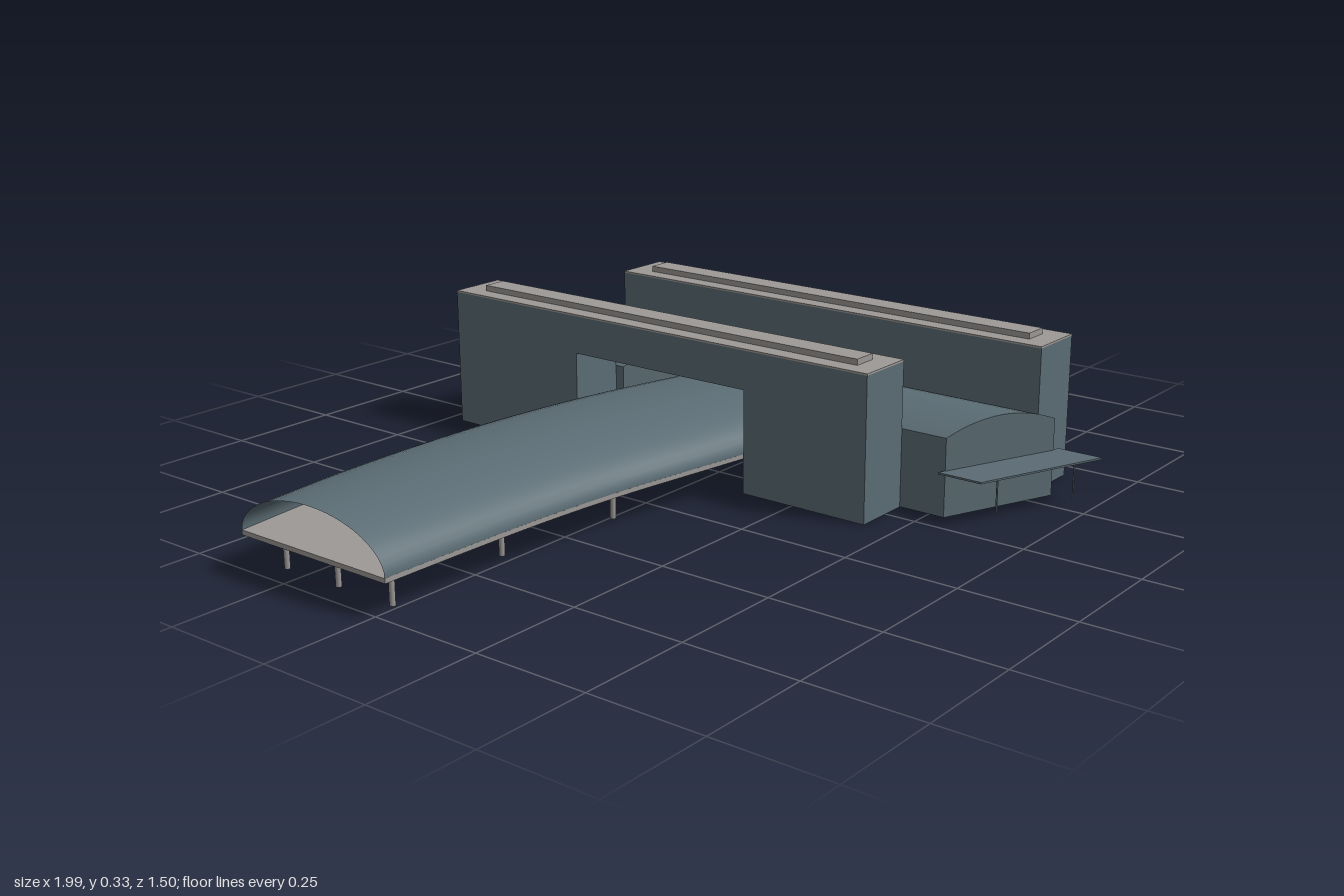
import * as THREE from 'three';
import { ParametricGeometry } from 'three/addons/geometries/ParametricGeometry.js';

const slate = new THREE.MeshStandardMaterial({ color: 0x5b6c74, side: THREE.DoubleSide });
slate.name = 'slate cladding';
const grey = new THREE.MeshStandardMaterial({ color: 0x9c9997 });
grey.name = 'grey concrete';

const V2 = (x, y) => new THREE.Vector2(x, y);

function add(parent, name, geometry, material, x = 0, y = 0, z = 0) {
  const mesh = new THREE.Mesh(geometry, material);
  mesh.name = name;
  mesh.position.set(x, y, z);
  parent.add(mesh);
  return mesh;
}

// Flat-faced shell from a counter-clockwise outline; place(p, k) sets a corner
// at end k (0 or 1). Edges lying on the ground are left open.
function shell(outline, place) {
  const pos = [];
  const put = (p, k) => pos.push(...place(p, k));
  outline.forEach((p, i) => {
    const q = outline[(i + 1) % outline.length];
    if (p.y === 0 && q.y === 0) return;
    put(p, 0); put(q, 0); put(q, 1);
    put(p, 0); put(q, 1); put(p, 1);
  });
  for (const [a, b, c] of THREE.ShapeUtils.triangulateShape(outline, [])) {
    put(outline[a], 1); put(outline[b], 1); put(outline[c], 1);
    put(outline[c], 0); put(outline[b], 0); put(outline[a], 0);
  }
  const g = new THREE.BufferGeometry();
  g.setAttribute('position', new THREE.Float32BufferAttribute(pos, 3));
  g.computeVertexNormals();
  return g;
}

// Long slab building bridging the platform hall
function slabBuilding(name, x0, x1, z0, z1, open0, open1) {
  const g = new THREE.Group();
  g.name = name;
  const top = 0.313, lintel = 0.228;
  const outline = [V2(z0, 0), V2(open0, 0), V2(open0, lintel), V2(open1, lintel),
    V2(open1, 0), V2(z1, 0), V2(z1, top), V2(z0, top)];
  add(g, 'walls', shell(outline, (p, k) => [k ? x0 : x1, p.y, p.x]), slate);
  const x = (x0 + x1) / 2, z = (z0 + z1) / 2, length = z1 - z0;
  add(g, 'flatRoof', new THREE.BoxGeometry(x1 - x0, 0.004, length), grey, x, top + 0.002, z);
  add(g, 'roofRidge', new THREE.BoxGeometry(0.056, 0.014, length - 0.106), grey, x, 0.323, z + 0.003);
  return g;
}

// Entrance hall with a shallow arched roof and skewed ends
function entranceHall(name, back, front) {
  const xl = 0.055, xr = 0.31, outline = [V2(xl, 0), V2(xr, 0)];
  for (let i = 0; i <= 14; i++) {
    const u = 1 - (2 * i) / 14;
    outline.push(V2((xl + xr) / 2 + (u * (xr - xl)) / 2, 0.17 + 0.029 * (1 - u * u)));
  }
  const geo = shell(outline, (p, k) => {
    const [a, b] = k ? front : back;
    return [p.x, p.y, THREE.MathUtils.lerp(a, b, (p.x - xl) / (xr - xl))];
  });
  const g = new THREE.Group();
  g.name = name;
  add(g, 'archedHall', geo, slate);
  return g;
}

// Edges of the curved platform hall, as x, z
const curve = (pts) => new THREE.CatmullRomCurve3(pts.map(([x, z]) => new THREE.Vector3(x, 0, z)));
const backEdge = curve([[-1, -0.362], [-0.77, -0.385], [-0.5, -0.39], [-0.28, -0.377], [-0.05, -0.342],
  [0.2, -0.278], [0.45, -0.21], [0.68, -0.138], [0.85, -0.071], [0.99, -0.003]]);
const frontEdge = curve([[-1, 0.03], [-0.8, 0.034], [-0.6, 0.042], [-0.4, 0.061], [-0.2, 0.092],
  [0, 0.126], [0.2, 0.173], [0.42, 0.238], [0.65, 0.31], [0.85, 0.367]]);

function platformHall() {
  const g = new THREE.Group();
  g.name = 'platformHall';
  // Barrel roof, open at both ends
  const roof = new ParametricGeometry((u, v, target) => {
    const a = frontEdge.getPoint(u), b = backEdge.getPoint(u), angle = v * Math.PI;
    target.lerpVectors(a, b, (1 - Math.cos(angle)) / 2);
    target.y = 0.08 + 0.093 * Math.sin(angle);
  }, 40, 24);
  add(g, 'barrelRoof', roof, slate);

  // Platform slab
  const rim = [...frontEdge.getPoints(40), ...backEdge.getPoints(40).reverse()];
  const deck = new THREE.ExtrudeGeometry(new THREE.Shape(rim.map((p) => V2(p.x, -p.z))),
    { depth: 0.01, bevelEnabled: false });
  deck.rotateX(-Math.PI / 2);
  add(g, 'platformDeck', deck, grey, 0, 0.071, 0);

  // Rows of three columns: middle x, z and the step to the next column
  const rows = [[-0.945, -0.16, 0, 0.145], [-0.645, -0.17, -0.002, 0.14], [-0.342, -0.135, -0.018, 0.14],
    [0.61, 0.07, -0.045, 0.137], [0.773, 0.13, -0.052, 0.137], [0.905, 0.185, -0.05, 0.115]];
  const column = new THREE.CylinderGeometry(0.006, 0.006, 0.072, 10);
  for (const [x, z, dx, dz] of rows) {
    for (const s of [-1, 0, 1]) add(g, 'column', column, grey, x + s * dx, 0.036, z + s * dz);
  }
  return g;
}

// Thin skewed porch roof on two slim posts
function porch() {
  const g = new THREE.Group();
  g.name = 'porch';
  const outline = [V2(0.04, -0.527), V2(0.04, -0.627), V2(0.328, -0.746), V2(0.328, -0.646)];
  const plate = new THREE.ExtrudeGeometry(new THREE.Shape(outline), { depth: 0.004, bevelEnabled: false });
  plate.rotateX(-Math.PI / 2);
  add(g, 'porchRoof', plate, slate, 0, 0.096, 0);
  const post = new THREE.CylinderGeometry(0.002, 0.002, 0.078, 8);
  for (const [x, z] of [[0.092, 0.635], [0.275, 0.711]]) add(g, 'porchPost', post, slate, x, 0.059, z);
  return g;
}

export function createModel() {
  const model = new THREE.Group();
  model.name = 'railwayStation';
  model.add(
    platformHall(),
    slabBuilding('rightSlab', -0.08, 0.054, -0.71, 0.43, -0.341, 0.125),
    slabBuilding('leftSlab', 0.311, 0.444, -0.533, 0.603, -0.249, 0.217),
    entranceHall('frontHall', [0.13, 0.203], [0.535, 0.643]),
    entranceHall('backHall', [-0.752, -0.647], [-0.32, -0.247]),
    porch(),
  );
  return model;
}
